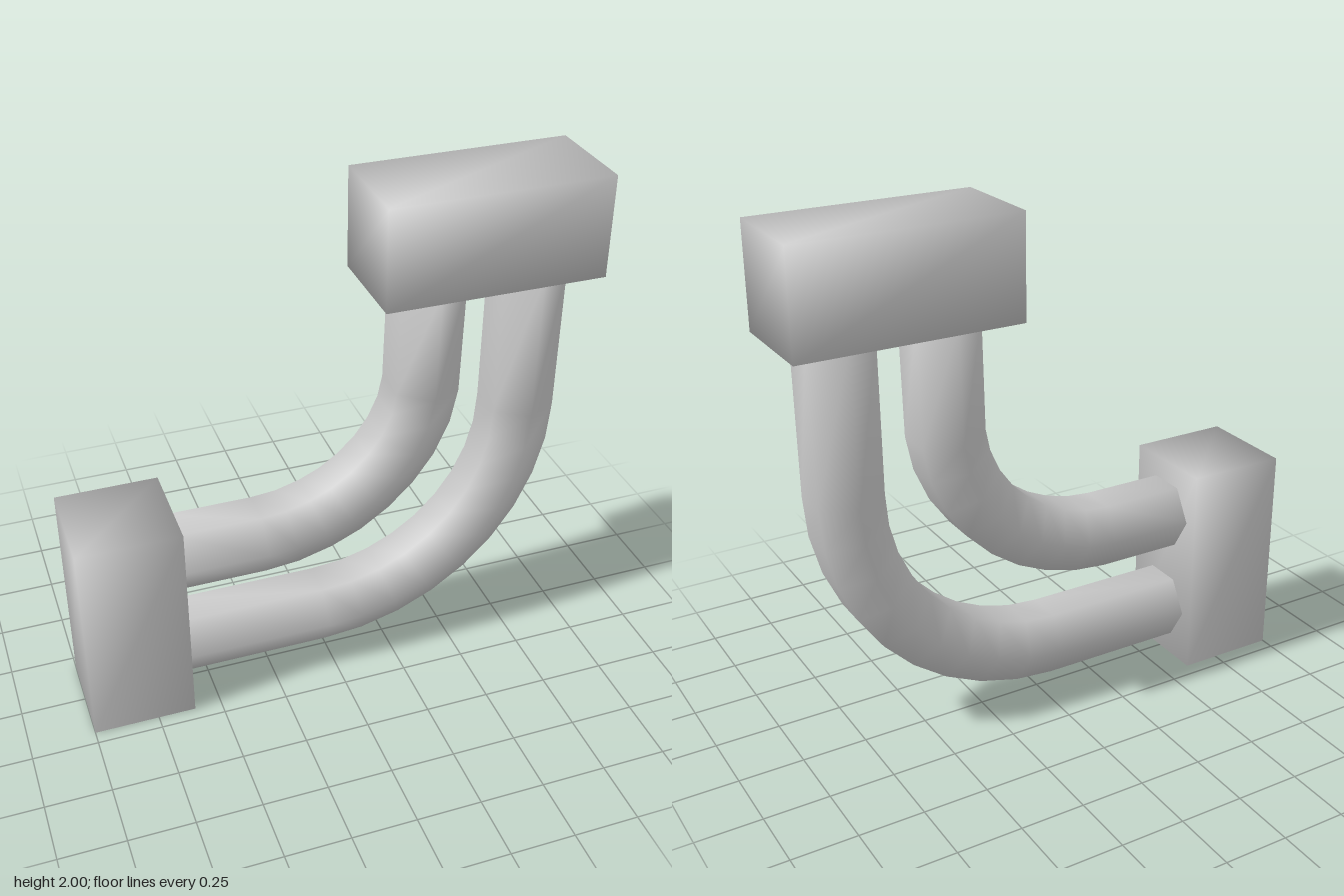
import * as THREE from 'three';
import { mergeVertices } from 'three/addons/utils/BufferGeometryUtils.js';

const SIDES = 6;
const RADIUS = 0.145;
const material = new THREE.MeshStandardMaterial({ color: 0xcccccc });

// Block whose corners share one smooth normal each
function block(name, w, h, d, x, y) {
  const box = new THREE.BoxGeometry(w, h, d);
  box.deleteAttribute('normal');
  box.deleteAttribute('uv');
  const geometry = mergeVertices(box);
  geometry.computeVertexNormals();
  const mesh = new THREE.Mesh(geometry, material);
  mesh.name = name;
  mesh.position.set(x, y, 0);
  return mesh;
}

// Six-sided pipe swept along a path in the xy plane, with corners at +z and -z
function pipe(name, path) {
  const positions = [];
  const index = [];
  path.forEach((p, i) => {
    const before = path[Math.max(i - 1, 0)];
    const after = path[Math.min(i + 1, path.length - 1)];
    const dir = new THREE.Vector2();
    if (i > 0) dir.add(p.clone().sub(before).normalize());
    if (i < path.length - 1) dir.add(after.clone().sub(p).normalize());
    dir.normalize();
    for (let k = 0; k < SIDES; k++) {
      const a = (k / SIDES) * Math.PI * 2;
      const out = Math.sin(a) * RADIUS;
      positions.push(p.x - dir.y * out, p.y + dir.x * out, Math.cos(a) * RADIUS);
    }
  });
  for (let i = 0; i < path.length - 1; i++) {
    for (let k = 0; k < SIDES; k++) {
      const a = i * SIDES + k;
      const b = i * SIDES + ((k + 1) % SIDES);
      index.push(a, a + SIDES, b, b, a + SIDES, b + SIDES);
    }
  }
  // End caps
  const last = (path.length - 1) * SIDES;
  for (let k = 1; k < SIDES - 1; k++) {
    index.push(0, k, k + 1, last, last + k + 1, last + k);
  }
  const geometry = new THREE.BufferGeometry();
  geometry.setAttribute('position', new THREE.Float32BufferAttribute(positions, 3));
  geometry.setIndex(index);
  geometry.computeVertexNormals();
  const mesh = new THREE.Mesh(geometry, material);
  mesh.name = name;
  return mesh;
}

export function createModel() {
  const group = new THREE.Group();
  group.name = 'pipeElbow';

  // End blocks: one upright at the side, one lying on top
  group.add(block('sideBlock', 0.395, 0.845, 0.39, -0.8025, 0.4225));
  group.add(block('topBlock', 0.845, 0.39, 0.39, 0.5775, 1.805));

  // Outer pipe: straight, quarter circle, straight
  const outer = [new THREE.Vector2(-0.62, 0.22)];
  const steps = 9;
  for (let i = 0; i <= steps; i++) {
    const a = (i / steps) * Math.PI / 2;
    outer.push(new THREE.Vector2(-0.03 + 0.81 * Math.sin(a), 1.03 - 0.81 * Math.cos(a)));
  }
  outer.push(new THREE.Vector2(0.785, 1.625));
  group.add(pipe('outerPipe', outer));

  // Inner pipe: slightly flatter bend
  const inner = [
    [-0.62, 0.632], [-0.27, 0.632], [-0.155, 0.643], [-0.04, 0.675], [0.06, 0.72], [0.155, 0.785],
    [0.24, 0.868], [0.306, 0.96], [0.355, 1.07], [0.378, 1.18], [0.388, 1.625],
  ].map(([x, y]) => new THREE.Vector2(x, y));
  group.add(pipe('innerPipe', inner));

  return group;
}
